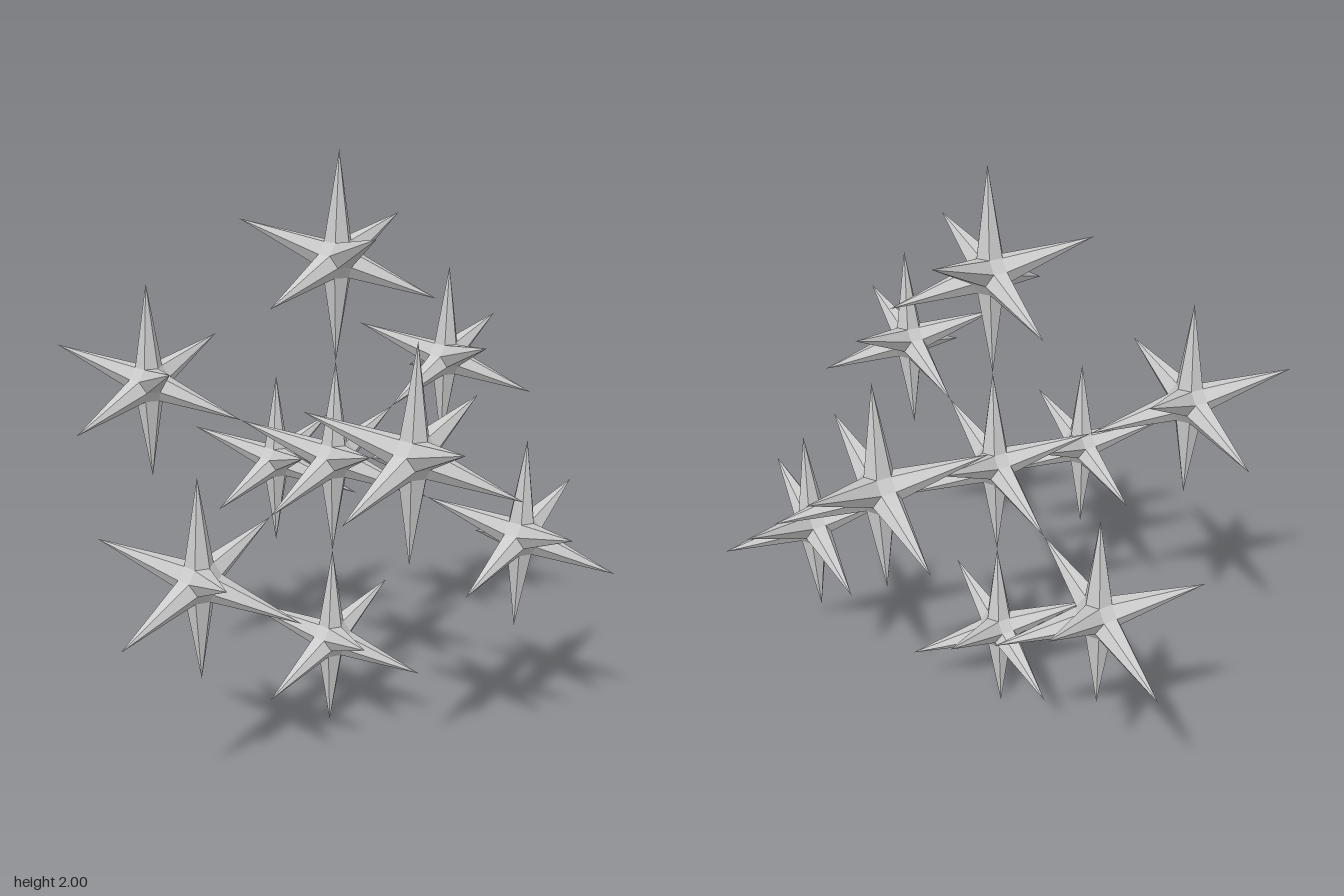
import * as THREE from 'three';

const REACH = 0.3337; // star centre to spike tip
const K = 0.032; // core size: corners are permutations of (0, K, 2K)
const TILT = 0.661; // lean of the whole lattice

// The eight cube-diagonal directions, as signs
const CORNERS = [];
for (const x of [1, -1]) for (const y of [1, -1]) for (const z of [1, -1]) CORNERS.push([x, y, z]);

function geometryFrom(triangles) {
  const geometry = new THREE.BufferGeometry();
  geometry.setAttribute('position', new THREE.Float32BufferAttribute(triangles.flat(2), 3));
  geometry.computeVertexNormals();
  return geometry;
}

// Slender spikes rising from the eight hexagonal sides of the core
function spikesGeometry() {
  const hexagon = [[0, 1, 2], [1, 0, 2], [2, 0, 1], [2, 1, 0], [1, 2, 0], [0, 2, 1]];
  const triangles = [];
  for (const sign of CORNERS) {
    const ring = hexagon.map((p) => p.map((v, i) => v * sign[i] * K));
    if (sign[0] * sign[1] * sign[2] < 0) ring.reverse();
    const tip = sign.map((s) => (s * REACH) / Math.sqrt(3));
    ring.forEach((p, i) => triangles.push([p, ring[(i + 1) % 6], tip]));
  }
  return geometryFrom(triangles);
}

// Six small square facets left open between the spikes
function facetsGeometry() {
  const square = [[1, 0, 2], [0, 1, 2], [-1, 0, 2], [0, -1, 2]];
  const triangles = [];
  for (let axis = 0; axis < 3; axis++) {
    for (const side of [1, -1]) {
      const q = square.map((p) => [0, 1, 2].map((i) => p[(i + axis) % 3] * side * K));
      if (side < 0) q.reverse();
      triangles.push([q[0], q[1], q[2]], [q[0], q[2], q[3]]);
    }
  }
  return geometryFrom(triangles);
}

export function createModel() {
  const model = new THREE.Group();
  model.name = 'starCluster';
  const material = new THREE.MeshStandardMaterial({ color: 0xcccccc, flatShading: true });
  const spikes = spikesGeometry();
  const facets = facetsGeometry();

  // Lattice axes: one face diagonal lies along x, the rest leans forward
  const right = new THREE.Vector3(1, 0, 0);
  const lean = new THREE.Vector3(0, Math.cos(TILT), Math.sin(TILT));
  const lattice = new THREE.Group();
  lattice.name = 'lattice';
  lattice.quaternion.setFromRotationMatrix(new THREE.Matrix4().makeBasis(
    lean.clone().add(right).normalize(),
    right.clone().sub(lean).normalize(),
    lean.clone().cross(right),
  ));
  lattice.position.y = 1;
  model.add(lattice);

  // A central star with one more touching each of its eight tips
  const step = (2 * REACH) / Math.sqrt(3);
  [[0, 0, 0], ...CORNERS].forEach((place, i) => {
    const star = new THREE.Group();
    star.name = i === 0 ? 'centreStar' : `outerStar${i}`;
    const spikeMesh = new THREE.Mesh(spikes, material);
    spikeMesh.name = 'spikes';
    const facetMesh = new THREE.Mesh(facets, material);
    facetMesh.name = 'coreFacets';
    star.add(spikeMesh, facetMesh);
    star.position.set(...place).multiplyScalar(step);
    lattice.add(star);
  });
  return model;
}
